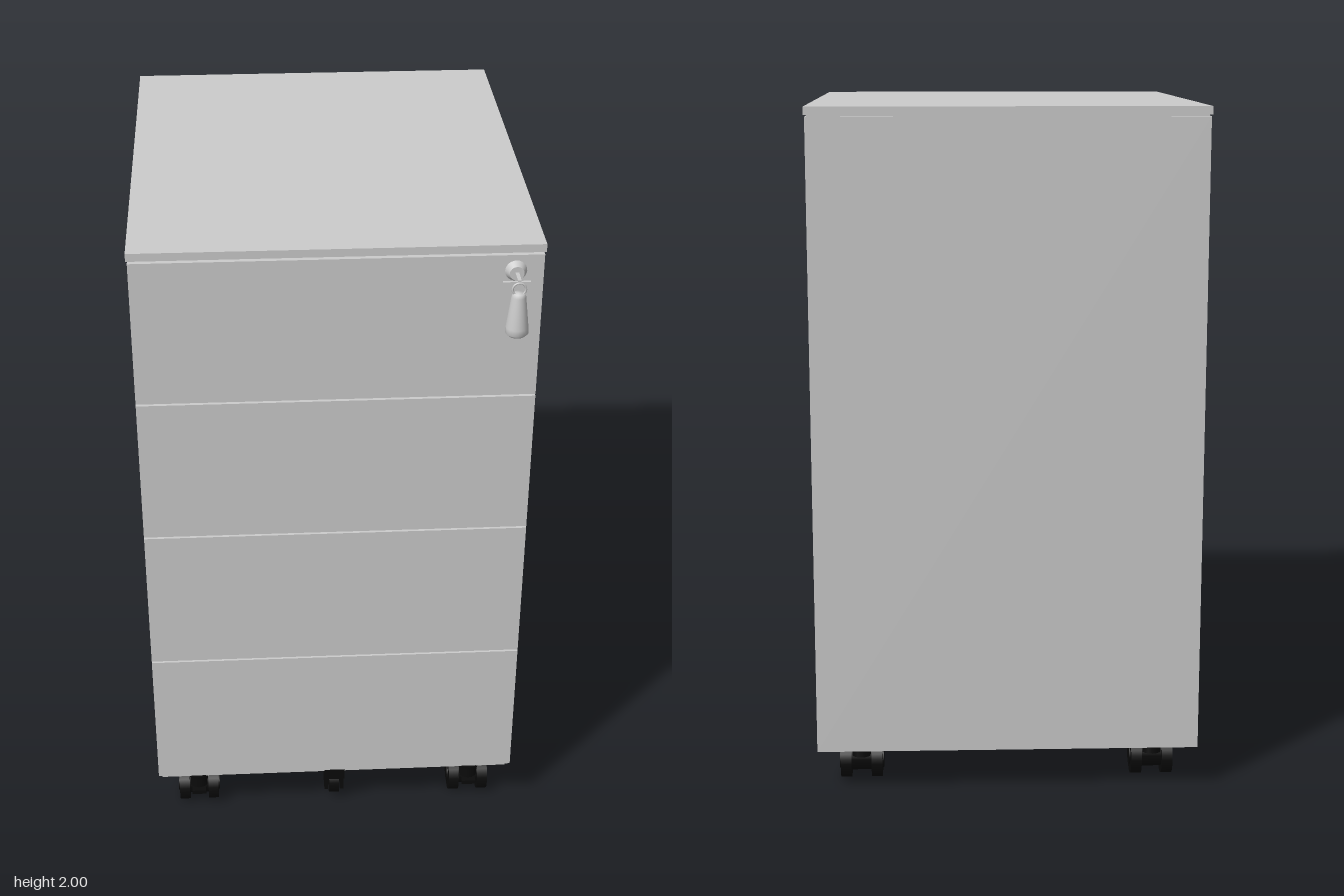
import * as THREE from 'three';

export function createModel() {
  const model = new THREE.Group();
  model.name = 'mobileDrawerCabinet';
  const paint = new THREE.MeshStandardMaterial({ color: 0xcbcbcb });
  paint.name = 'light grey paint';
  const rubber = new THREE.MeshStandardMaterial({ color: 0x0a0a0a });
  rubber.name = 'black plastic';

  function add(parent, name, geometry, material, x = 0, y = 0, z = 0) {
    const mesh = new THREE.Mesh(geometry, material);
    mesh.name = name;
    mesh.position.set(x, y, z);
    parent.add(mesh);
    return mesh;
  }
  // Box given by its limits on each axis
  function box(parent, name, material, x0, x1, y0, y1, z0, z1) {
    return add(parent, name, new THREE.BoxGeometry(x1 - x0, y1 - y0, z1 - z0), material,
      (x0 + x1) / 2, (y0 + y1) / 2, (z0 + z1) / 2);
  }

  // Cabinet shell, recessed front frame and lid
  box(model, 'body', paint, -0.56, 0.56, 0.13, 1.972, -0.708, 0.556);
  box(model, 'frontFrame', paint, -0.55, 0.55, 0.13, 1.972, 0.556, 0.574);
  box(model, 'lid', paint, -0.563, 0.563, 1.977, 2, -0.71, 0.617);
  box(model, 'lidSeam', paint, -0.555, 0.555, 1.97, 1.98, -0.703, 0.6);

  // Four drawer fronts separated by thin gaps
  const seams = [0.17, 0.63, 1.087, 1.535, 1.973];
  for (let i = 0; i < 4; i++) {
    box(model, 'drawerFront' + (i + 1), paint, -0.559, 0.559,
      seams[i] + 0.003, seams[i + 1] - 0.003, 0.577, 0.617);
  }

  // Lock with key and hanging tag
  const lock = new THREE.Group();
  lock.name = 'lockAndKey';
  lock.position.set(0.483, 1.92, 0);
  model.add(lock);
  add(lock, 'lockBarrel', new THREE.CylinderGeometry(0.02, 0.03, 0.02, 24), paint, 0, 0.004, 0.627).rotation.x = Math.PI / 2;
  box(lock, 'keyBlade', paint, -0.005, 0.005, -0.008, 0.008, 0.63, 0.685);
  box(lock, 'keyBow', paint, -0.045, 0.03, -0.004, 0.004, 0.679, 0.686);
  add(lock, 'keyRing', new THREE.TorusGeometry(0.018, 0.003, 8, 24), paint, 0, -0.018, 0.686);
  const tagProfile = [[0, -0.155], [0.024, -0.155], [0.032, -0.147], [0.031, -0.13],
    [0.02, -0.04], [0.015, -0.03], [0, -0.028]].map(p => new THREE.Vector2(p[0], p[1]));
  add(lock, 'keyTag', new THREE.LatheGeometry(tagProfile, 24), paint, 0, 0, 0.684);

  // Twin-wheel swivel casters under the corners
  function caster(x, z, direction) {
    const g = new THREE.Group();
    g.name = 'caster';
    g.position.set(x, 0, z);
    g.scale.z = 1;
    model.add(g);
    for (const side of [-1, 1]) {
      add(g, 'wheel', new THREE.CylinderGeometry(0.057, 0.057, 0.032, 24), rubber, side * 0.046, 0.058, 0).rotation.z = Math.PI / 2;
      add(g, 'hub', new THREE.CylinderGeometry(0.03, 0.03, 0.006, 16), rubber, side * 0.063, 0.058, 0).rotation.z = Math.PI / 2;
    }
    // Hood between the wheels, swivel stem and brake tab
    add(g, 'hood', new THREE.CylinderGeometry(0.045, 0.045, 0.062, 20), rubber, 0, 0.068, 0).rotation.z = Math.PI / 2;
    add(g, 'stem', new THREE.CylinderGeometry(0.026, 0.03, 0.05, 16), rubber, 0, 0.106, direction * 0.03);
    add(g, 'swivelPlate', new THREE.CylinderGeometry(0.038, 0.038, 0.008, 16), rubber, 0, 0.127, direction * 0.03);
    box(g, 'brakeTab', rubber, -0.022, 0.022, 0.064, 0.078, 0.035, 0.072);
  }
  for (const x of [-0.435, 0.435]) {
    caster(x, 0.515, 1);
    caster(x, -0.575, -1);
  }

  // Narrow anti-tilt wheel under the bottom drawer
  const support = new THREE.Group();
  support.name = 'centreSupportWheel';
  model.add(support);
  add(support, 'supportWheel', new THREE.CylinderGeometry(0.05, 0.05, 0.032, 24), rubber, 0, 0.068, 0.53).rotation.z = Math.PI / 2;
  for (const side of [-1, 1]) {
    box(support, 'forkArm', rubber, side * 0.025 - 0.006, side * 0.025 + 0.006, 0.045, 0.135, 0.51, 0.565);
  }
  box(support, 'forkBridge', rubber, -0.031, 0.031, 0.118, 0.172, 0.55, 0.6);

  return model;
}
